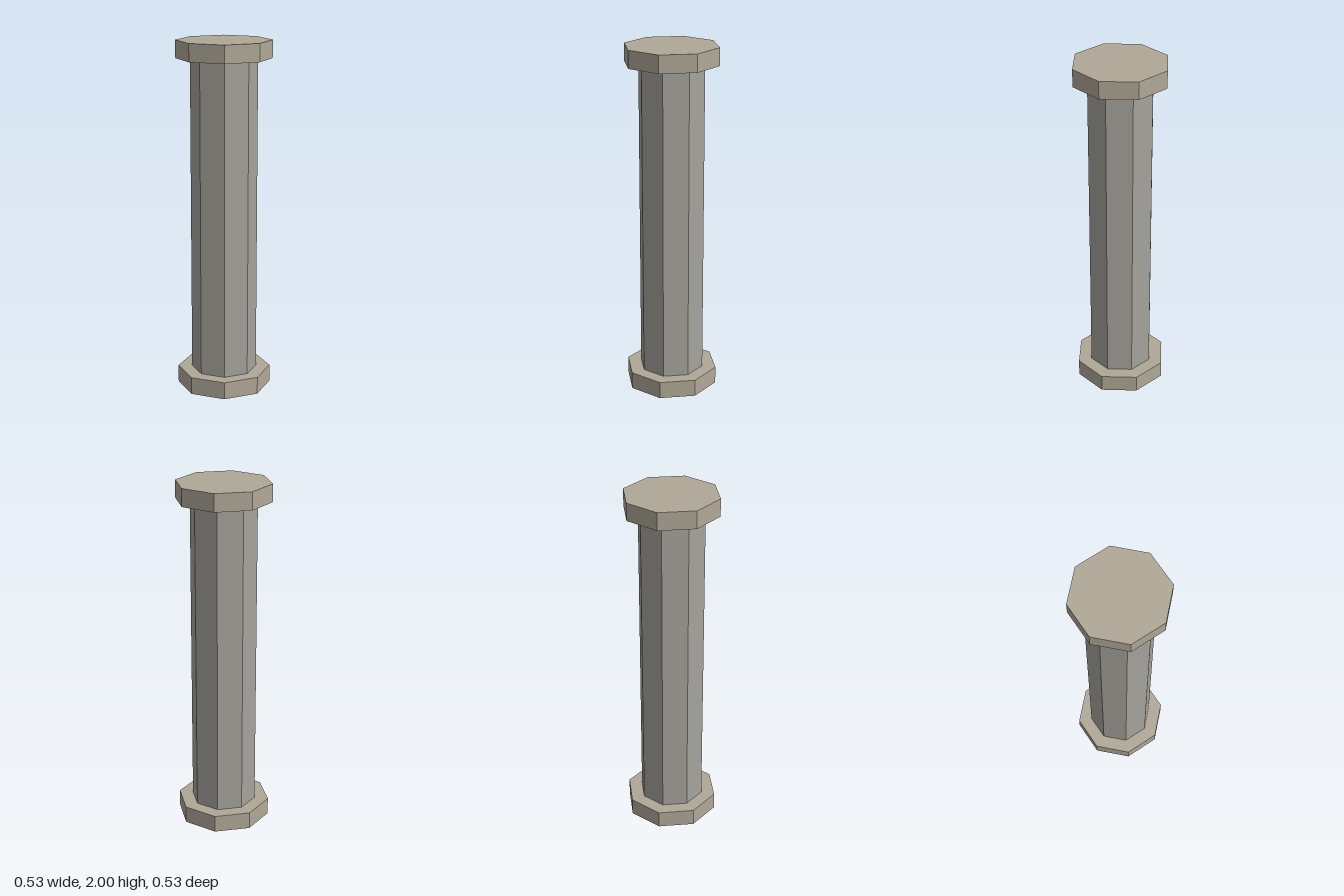
import * as THREE from 'three';

const SIDES = 8;
const HEIGHT = 2;
const PLATE_HEIGHT = 0.1;
const PLATE_RADIUS = 0.267;
const SHAFT_RADIUS = 0.187;

export function createModel() {
  const column = new THREE.Group();
  column.name = 'column';

  const plateMaterial = new THREE.MeshStandardMaterial({ color: 0xb0a898, flatShading: true });
  const shaftMaterial = new THREE.MeshStandardMaterial({ color: 0xa5a39c, flatShading: true });

  // Adds an octagonal prism whose underside sits at the given height
  function addPrism(name, radius, height, bottom, material) {
    const mesh = new THREE.Mesh(new THREE.CylinderGeometry(radius, radius, height, SIDES), material);
    mesh.name = name;
    mesh.position.y = bottom + height / 2;
    column.add(mesh);
  }

  // Base and capital plates with the shaft between them
  addPrism('base', PLATE_RADIUS, PLATE_HEIGHT, 0, plateMaterial);
  addPrism('shaft', SHAFT_RADIUS, HEIGHT - 2 * PLATE_HEIGHT, PLATE_HEIGHT, shaftMaterial);
  addPrism('capital', PLATE_RADIUS, PLATE_HEIGHT, HEIGHT - PLATE_HEIGHT, plateMaterial);

  return column;
}
